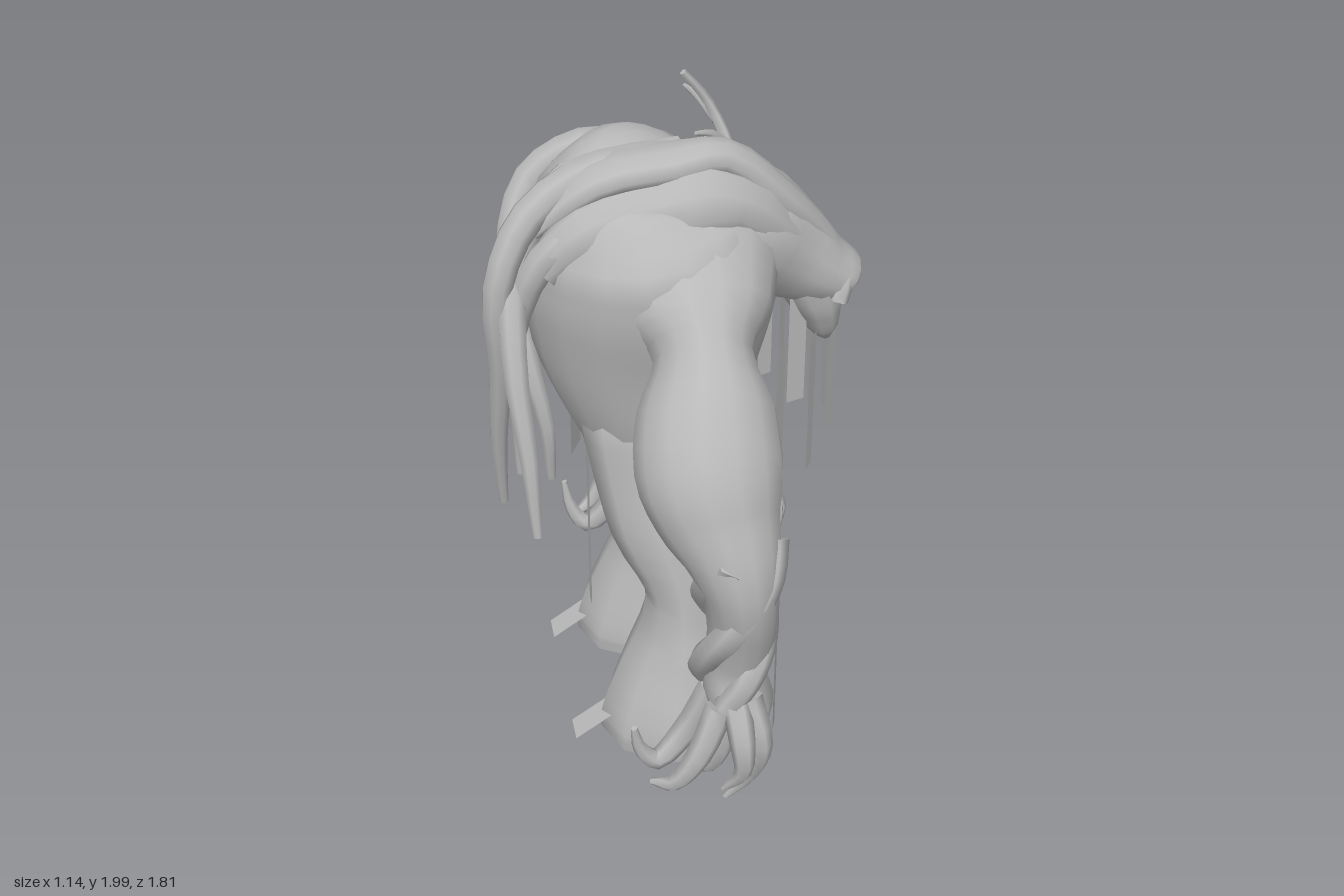
import * as THREE from 'three';

const skin = new THREE.MeshStandardMaterial({ color: 0xb9b9b9, side: THREE.DoubleSide });
skin.name = 'stone grey';
const X = new THREE.Vector3(1, 0, 0), Z = new THREE.Vector3(0, 0, 1);

// Smooth tube through rows [x, y, z, radius along ref, radius across it]
function loft(rows, ref, sides = 12, sub = 3) {
  const path = new THREE.CatmullRomCurve3(rows.map(r => new THREE.Vector3(r[0], r[1], r[2])));
  const size = new THREE.CatmullRomCurve3(rows.map(r => new THREE.Vector3(r[3], r[4] ?? r[3], 0)));
  const n = (rows.length - 1) * sub, pos = [], idx = [];
  for (let i = 0; i <= n; i++) {
    const c = path.getPoint(i / n), t = path.getTangent(i / n), s = size.getPoint(i / n);
    const side = ref.clone().addScaledVector(t, -ref.dot(t)).normalize();
    const up = t.clone().cross(side);
    for (let j = 0; j < sides; j++) {
      const a = (j / sides) * Math.PI * 2;
      const p = c.clone().addScaledVector(side, Math.cos(a) * s.x).addScaledVector(up, Math.sin(a) * s.y);
      pos.push(p.x, p.y, p.z);
      if (i < n) {
        const k = (j + 1) % sides, o = i * sides;
        idx.push(o + j, o + k, o + sides + j, o + k, o + sides + k, o + sides + j);
      }
    }
  }
  // Flat end caps with their own corners
  for (const end of [0, n]) {
    const base = pos.length / 3, o = end * sides;
    for (let j = 0; j < sides; j++) pos.push(...pos.slice((o + j) * 3, (o + j) * 3 + 3));
    for (let j = 1; j < sides - 1; j++) {
      if (end) idx.push(base, base + j, base + j + 1);
      else idx.push(base, base + j + 1, base + j);
    }
  }
  const g = new THREE.BufferGeometry();
  g.setAttribute('position', new THREE.Float32BufferAttribute(pos, 3));
  g.setIndex(idx);
  g.computeVertexNormals();
  return g;
}

// Tapering round strand through points [x, y, z]
const strand = (pts, r0, r1, sides = 6) => loft(
  pts.map((p, i) => [...p, r0 + (r1 - r0) * (i / (pts.length - 1)) ** 1.5]),
  new THREE.Vector3(0.31, 0.2, 0.93).normalize(), sides);

export function createModel() {
  const model = new THREE.Group();
  const add = (name, geo) => {
    const m = new THREE.Mesh(geo, skin);
    m.name = name;
    model.add(m);
    return m;
  };

  add('torso', loft([
    [-0.03, 0.86, 0.03, 0.12, 0.14], [-0.03, 0.95, 0.03, 0.22, 0.26], [-0.04, 1.1, 0.025, 0.285, 0.31],
    [-0.05, 1.3, 0.02, 0.35, 0.35], [-0.05, 1.5, 0.02, 0.375, 0.4], [-0.06, 1.65, 0.02, 0.355, 0.41],
    [-0.07, 1.76, 0.02, 0.3, 0.32], [-0.06, 1.84, 0.02, 0.19, 0.2], [-0.05, 1.87, 0.03, 0.04, 0.04],
  ], X, 18));

  // Head, slung forward and low from the shoulders
  add('head', loft([
    [-0.25, 1.7, 0.03, 0.16, 0.12], [0, 1.72, 0.045, 0.25, 0.15], [0.2, 1.64, 0.045, 0.23, 0.19],
    [0.35, 1.54, 0.04, 0.165, 0.155], [0.46, 1.465, 0.04, 0.135, 0.11], [0.53, 1.43, 0.04, 0.11, 0.08],
    [0.54, 1.42, 0.04, 0.08, 0.05],
  ], Z, 14));
  add('jaw', loft([
    [0.42, 1.46, 0.045, 0.11, 0.125], [0.45, 1.36, 0.045, 0.08, 0.115], [0.47, 1.28, 0.05, 0.05, 0.08],
    [0.48, 1.24, 0.05, 0.02, 0.04]], X, 10));
  add('brow', strand([[0.49, 1.4, 0.15], [0.51, 1.46, 0.13], [0.525, 1.49, 0.04], [0.51, 1.46, -0.05], [0.49, 1.4, -0.07]], 0.03, 0.025));
  add('nose', strand([[0.52, 1.47, 0.04], [0.535, 1.42, 0.04], [0.51, 1.36, 0.04]], 0.03, 0.025));
  add('mane', loft([
    [-0.4, 1.72, 0.12, 0.06, 0.03], [-0.22, 1.86, 0.13, 0.1, 0.05], [0, 1.89, 0.14, 0.09, 0.055],
    [0.14, 1.9, 0.14, 0.065, 0.05], [0.3, 1.76, 0.11, 0.08, 0.05], [0.45, 1.59, 0.06, 0.06, 0.04],
    [0.53, 1.49, 0.04, 0.05, 0.02]], Z, 10));
  // Matted fold of hair along the left shoulder
  add('mantle', loft([
    [-0.38, 1.62, 0.2, 0.05, 0.06], [-0.25, 1.73, 0.2, 0.09, 0.09], [-0.05, 1.77, 0.19, 0.1, 0.1],
    [0.15, 1.77, 0.18, 0.1, 0.1], [0.3, 1.65, 0.13, 0.09, 0.08], [0.42, 1.55, 0.08, 0.05, 0.05]], Z, 10));

  // Long ropes of hair over the back
  [
    [[0.12, 1.87, 0.1], [-0.2, 1.87, 0.1], [-0.41, 1.77, 0.15], [-0.51, 1.58, 0.2], [-0.51, 1.3, 0.17], [-0.52, 1, 0.1], [-0.51, 0.74, 0.04]],
    [[0.05, 1.83, -0.02], [-0.28, 1.82, 0.05], [-0.44, 1.66, 0.13], [-0.48, 1.4, 0.27], [-0.46, 1.1, 0.37], [-0.45, 0.86, 0.41]],
    [[0, 1.76, -0.2], [-0.2, 1.78, -0.24], [-0.36, 1.69, -0.24], [-0.44, 1.5, -0.14], [-0.42, 1.25, 0], [-0.37, 1, 0.05], [-0.36, 0.8, 0.03]],
    [[0.1, 1.77, 0.17], [-0.2, 1.76, 0.2], [-0.38, 1.66, 0.21], [-0.47, 1.4, 0.16], [-0.46, 1.15, 0.12], [-0.46, 0.88, 0.1]],
  ].forEach(p => add('hairRope', strand(p, 0.06, 0.015, 8)));

  // Limbs, mirrored with the right side set a little closer in and its claws lower
  for (const s of [1, -1]) {
    const side = s > 0 ? 'left' : 'right';
    const armAt = ([x, y, z, ...r]) => s > 0 ? [x, y, z, ...r]
      : [x - 0.02, y - 0.15 * Math.max(0, 0.5 - y), -0.89 * z, ...r];
    const legAt = r => s > 0 ? r : [r[0], r[1], 0.085 - r[2], ...r.slice(3)];

    add(side + 'Leg', loft([
      [-0.04, 1.28, 0.13, 0.2, 0.1], [-0.03, 1.08, 0.17, 0.25, 0.155], [-0.03, 0.9, 0.21, 0.22, 0.14],
      [-0.02, 0.74, 0.24, 0.19, 0.145],
      [0.02, 0.54, 0.285, 0.135, 0.14], [0.02, 0.4, 0.28, 0.145, 0.17], [0.02, 0.25, 0.285, 0.21, 0.195],
      [0.02, 0.06, 0.295, 0.28, 0.23], [0.02, 0.005, 0.295, 0.28, 0.225]].map(legAt), X, 10));
    add(side + 'HeelFlap', new THREE.PlaneGeometry(0.14, 0.09).rotateX(-Math.PI / 2).rotateZ(0.6))
      .position.set(-0.29, 0.045, s > 0 ? 0.3 : -0.21);

    add(side + 'Arm', loft([
      [0.01, 1.58, 0.18, 0.31, 0.23], [0.03, 1.5, 0.34, 0.22, 0.19], [0.03, 1.43, 0.43, 0.14, 0.18],
      [0.02, 1.32, 0.53, 0.195, 0.195], [0.01, 1.2, 0.62, 0.21, 0.19], [0.03, 1.08, 0.675, 0.185, 0.175],
      [0.06, 0.97, 0.73, 0.14, 0.15], [0.08, 0.85, 0.745, 0.11, 0.14], [0.09, 0.7, 0.725, 0.1, 0.12],
      [0.08, 0.56, 0.7, 0.09, 0.11], [0.05, 0.45, 0.7, 0.065, 0.12], [0.04, 0.38, 0.71, 0.03, 0.06],
    ].map(armAt), X, 14));
    // Roots winding around the forearm
    for (const phase of [0, 2.1, 4.2]) {
      const pts = [];
      for (let i = 0; i <= 6; i++) {
        const k = i / 6, a = phase + k * 4;
        pts.push([0.08 - 0.02 * k + Math.cos(a) * 0.08, 1.02 - 0.56 * k, 0.745 - 0.045 * k + Math.sin(a) * 0.1]);
      }
      add(side + 'ForearmRoot', strand(pts.map(armAt), 0.055, 0.04));
    }
    // Root-like claws
    [
      [[0.08, 0.55, 0.63], [0.1, 0.4, 0.58], [0.1, 0.28, 0.56], [0.06, 0.18, 0.535]],
      [[0.02, 0.45, 0.68], [-0.06, 0.27, 0.66], [-0.15, 0.19, 0.68], [-0.2, 0.25, 0.69], [-0.22, 0.34, 0.7]],
      [[0.02, 0.45, 0.78], [-0.05, 0.3, 0.81], [-0.12, 0.2, 0.8], [-0.18, 0.18, 0.76]],
      [[0.05, 0.42, 0.74], [0.03, 0.27, 0.74], [0, 0.18, 0.72], [-0.04, 0.17, 0.7]],
      [[0.1, 0.48, 0.78], [0.13, 0.34, 0.83], [0.11, 0.2, 0.8], [0.04, 0.1, 0.78]],
      [[0.06, 0.5, 0.78], [0.07, 0.38, 0.86], [0.07, 0.27, 0.87], [0.02, 0.19, 0.84]],
    ].forEach(p => add(side + 'Claw', strand(p.map(armAt), 0.045, 0.01)));
  }

  // Forked twigs growing from the body: [stem, branch, branch]
  [
    [[[0.24, 1.68, -0.17], [0.23, 1.76, -0.2], [0.18, 1.88, -0.25], [0.1, 1.99, -0.24]],
      [[0.2, 1.83, -0.24], [0.16, 1.88, -0.3], [0.13, 1.89, -0.37]],
      [[0.22, 1.77, -0.2], [0.17, 1.82, -0.17], [0.12, 1.84, -0.14]]],
    [[[-0.3, 1.2, -0.2], [-0.36, 1.21, -0.28], [-0.38, 1.25, -0.34], [-0.4, 1.3, -0.4]],
      [[-0.36, 1.21, -0.28], [-0.41, 1.2, -0.31], [-0.45, 1.15, -0.31]],
      [[-0.37, 1.23, -0.32], [-0.34, 1.18, -0.36], [-0.35, 1.12, -0.38]]],
    [[[0, 1.25, -0.66], [0, 1.21, -0.76], [0, 1.15, -0.83], [-0.02, 1.11, -0.9]],
      [[0, 1.16, -0.82], [0.05, 1.14, -0.85], [0.08, 1.14, -0.88]],
      [[0, 1.18, -0.79], [-0.05, 1.18, -0.84], [-0.07, 1.14, -0.88]]],
    [[[0.22, 1, 0.2], [0.26, 0.88, 0.25], [0.31, 0.77, 0.27], [0.27, 0.67, 0.29]],
      [[0.26, 0.88, 0.25], [0.29, 0.85, 0.21], [0.28, 0.8, 0.19]],
      [[0.3, 0.79, 0.27], [0.29, 0.76, 0.32], [0.28, 0.74, 0.35]]],
  ].forEach(t => t.forEach((p, i) => add('twig', strand(p, i ? 0.017 : 0.024, i ? 0.007 : 0.011, 5))));

  // Hanging moss strips: [x, top, z, width, length, turn]
  const q = Math.PI / 2;
  [
    [0.38, 1.5, 0.12, 0.06, 0.45, 0.3], [0.42, 1.3, 0.16, 0.05, 0.47, 1], [0.45, 1.25, 0.04, 0.08, 0.28, q],
    [0.5, 1.36, 0.08, 0.05, 0.44, 0.9], [0.5, 1.25, 0, 0.05, 0.3, q], [0.38, 1.42, -0.07, 0.05, 0.52, 1],
    [0.34, 1.45, -0.12, 0.05, 0.45, 0.4], [0.28, 1.37, 0.31, 0.04, 0.37, q], [0.29, 1.38, -0.18, 0.06, 0.48, 1.2],
    [0.32, 1.3, 0.2, 0.04, 0.42, q], [-0.24, 1.05, -0.28, 0.09, 0.36, 1.1], [-0.26, 0.96, 0.13, 0.05, 0.58, q],
    [0.2, 1.18, 0.65, 0.05, 0.39, q], [0.17, 0.85, 0.82, 0.04, 0.46, 1.2],
  ].forEach(([x, top, z, w, h, turn]) => {
    const m = add('mossStrip', new THREE.PlaneGeometry(w, h));
    m.position.set(x, top - h / 2, z);
    m.rotation.y = turn;
  });

  return model;
}
